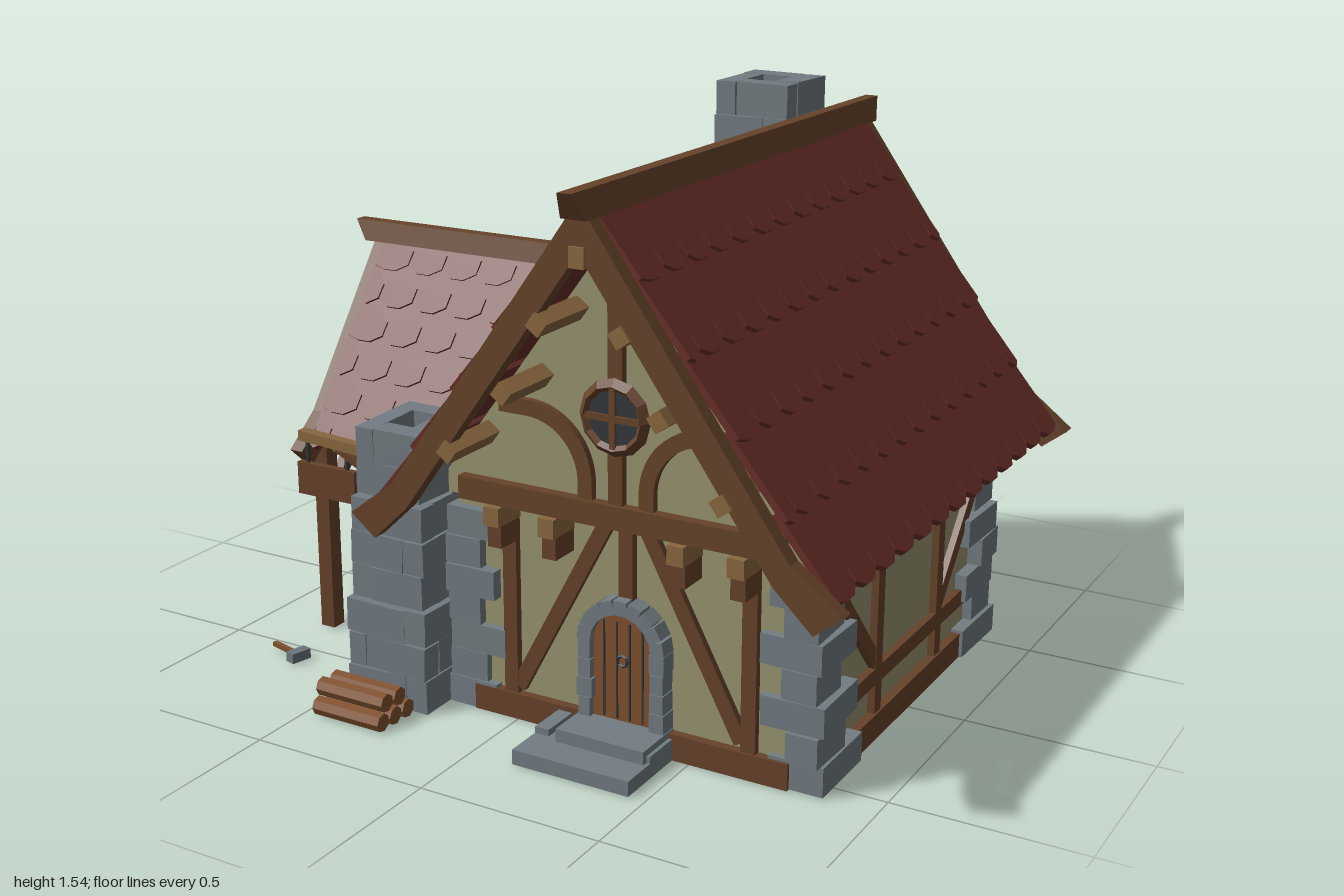
import * as THREE from 'three';

const paint = (color) => new THREE.MeshStandardMaterial({ color, flatShading: true });
const WOOD = paint(0x66432a), LIGHT = paint(0x8a6840), PLASTER = paint(0x98936f), STONE = paint(0x727c82),
  TILE = paint(0x692f29), DARK = paint(0x33383c), DOOR = paint(0x80512e), IRON = paint(0x6b7579);

let seed = 7;
const jitter = (a) => ((seed = (seed * 16807) % 2147483647) / 2147483647 - 0.5) * 2 * a;

function add(parent, name, geo, mat, x = 0, y = 0, z = 0) {
  const m = new THREE.Mesh(geo, mat);
  m.name = name;
  m.position.set(x, y, z);
  parent.add(m);
  return m;
}
function group(parent, name, x = 0, y = 0, z = 0, yaw = 0) {
  const g = new THREE.Group();
  g.name = name;
  g.position.set(x, y, z);
  g.rotation.y = yaw;
  parent.add(g);
  return g;
}
const box = (p, name, w, h, d, x, y, z, mat = WOOD) => add(p, name, new THREE.BoxGeometry(w, h, d), mat, x, y, z);
const polygon = (pts) => new THREE.Shape(pts.map(([x, y]) => new THREE.Vector2(x, y)));
const extrude = (shape, depth) => new THREE.ExtrudeGeometry(shape, { depth, bevelEnabled: false, curveSegments: 8 });

// straight timber between two points of a wall plane
function beam(p, name, [ax, ay], [bx, by], w, d, z, mat = WOOD) {
  const m = box(p, name, w, Math.hypot(bx - ax, by - ay), d, (ax + bx) / 2, (ay + by) / 2, z, mat);
  m.rotation.z = Math.atan2(ax - bx, by - ay);
  return m;
}

// one roof slope: overlapping rows of notched, scalloped tiles
function tiles(p, name, len, rows, w, tilt, yaw, [x, y, z], range) {
  const g = group(p, name, x, y, z);
  g.rotation.set(-tilt, yaw, 0, 'YXZ');
  const step = len / rows;
  for (let i = 0; i < rows; i++) {
    const [a, b] = range(i), over = i ? 0.04 : 0, h = step + over;
    const pts = [[b, 0], [a, 0], [a, -h + 0.012]];
    for (let s = a - (i % 2 ? w / 2 : 0); s < b; s += w) {
      const tile = [[s - 0.002, -h + 0.022], [s - 0.002, -h + 0.065], [s + 0.002, -h + 0.065],
        [s + 0.002, -h + 0.022], [s + w * 0.32, -h], [s + w * 0.68, -h]];
      pts.push(...tile.filter(([q]) => q > a + 0.003 && q < b - 0.003));
    }
    pts.push([b, -h + 0.012]);
    add(g, 'tileRow', extrude(polygon(pts), 0.018), TILE, 0, -i * step + over).rotation.x = -0.06;
  }
}

// chevron of two gable boards, from the right half listed apex to apex
function bargeboard(p, half, z, depth) {
  const left = half.slice(1, -1).reverse().map(([x, y]) => [-x, y]);
  add(p, 'bargeboard', extrude(polygon([...half, ...left]), depth), WOOD, 0, 0, z);
}

// tapered ridge timber running along local z with slanted ends
function ridge(p, z0, z1, y, h, slant0, slant1) {
  const geo = new THREE.BoxGeometry(1, h, 1), q = geo.attributes.position;
  for (let i = 0; i < q.count; i++) {
    const top = q.getY(i) > 0;
    q.setX(i, Math.sign(q.getX(i)) * (top ? 0.018 : 0.034));
    q.setZ(i, q.getZ(i) > 0 ? z1 - (top ? 0 : slant1) : z0 + (top ? 0 : slant0));
  }
  add(p, 'ridgeBeam', geo, WOOD, 0, y);
}

// hollow stack of rough stones; size(t) gives [centre x, centre z, width, depth]
function stoneStack(p, name, y0, y1, courses, t, size) {
  const g = group(p, name), h = (y1 - y0) / courses;
  for (let i = 0; i < courses; i++) {
    const [cx, cz, w, d] = size((i + 0.5) / courses), s = i % 2 ? 1 : -1, y = y0 + (i + 0.5) * h;
    for (const k of [-1, 1]) {
      const a = box(g, 'stone', w - t, h * 0.98, t + jitter(0.008), cx + (s * k * t) / 2, y, cz + (k * (d - t)) / 2, STONE);
      const b = box(g, 'stone', t + jitter(0.008), h * 0.98, d - t, cx + (k * (w - t)) / 2, y, cz - (s * k * t) / 2, STONE);
      a.rotation.z = jitter(0.03);
      b.rotation.x = jitter(0.03);
    }
  }
}

function gableEnd(house, yaw, hasDoor) {
  const g = group(house, hasDoor ? 'frontGable' : 'backGable', 0, 0, 0, yaw);
  // lower framing
  box(g, 'sill', 0.9, 0.07, 0.04, 0, 0.035, 0.555);
  box(g, 'middlePost', 0.04, hasDoor ? 0.22 : 0.55, 0.03, 0, hasDoor ? 0.49 : 0.33, 0.555);
  box(g, 'tieBeam', 0.9, 0.06, 0.05, 0, 0.63, 0.605);
  box(g, 'kingPost', 0.04, 0.68, 0.03, 0, 0.99, 0.605);
  for (const s of [-1, 1]) {
    box(g, 'post', 0.04, 0.55, 0.03, s * 0.34, 0.33, 0.555);
    beam(g, 'diagonalBrace', [s * 0.32, 0.09], [s * 0.05, 0.6], 0.04, 0.026, 0.555);
    // brackets carrying the overhang
    for (const u of [0.18, 0.34]) {
      box(g, 'bracket', 0.04, 0.06, 0.09, s * u, 0.52, 0.59);
      box(g, 'bracketTop', 0.045, 0.05, 0.12, s * u, 0.575, 0.59, LIGHT);
    }
    // curved brace
    const arc = new THREE.Shape();
    arc.absarc(s * 0.25, 0.7, 0.185, s > 0 ? Math.PI : 0, Math.PI / 2, s > 0);
    arc.absarc(s * 0.25, 0.7, 0.145, Math.PI / 2, s > 0 ? Math.PI : 0, s < 0);
    add(g, 'curvedBrace', extrude(arc, 0.025), WOOD, 0, 0, 0.595);
    box(g, 'braceFoot', 0.04, 0.06, 0.025, s * 0.085, 0.68, 0.6075);
    beam(g, 'braceEnd', [s * 0.24, 0.865], [s * 0.33, 0.865], 0.04, 0.025, 0.6075);
    // purlin ends under the boards
    for (const [u, y] of [[0.11, 1.13], [0.21, 0.95], [0.37, 0.78]])
      box(g, 'purlin', 0.042, 0.042, 0.22, s * u, y, 0.68, LIGHT).rotation.z = s * -0.94;
  }
  box(g, 'topPurlin', 0.04, 0.05, 0.22, 0, 1.3, 0.68, LIGHT);
  bargeboard(g, [[0, 1.43], [0.54, 0.67], [0.67, 0.57], [0.6, 0.515], [0.5, 0.61], [0, 1.31]], 0.74, 0.042);
  // round window
  const pane = add(g, 'windowPane', new THREE.CylinderGeometry(0.075, 0.075, 0.04, 12), DARK, 0, 0.88, 0.607);
  pane.rotation.x = Math.PI / 2;
  add(g, 'windowRing', new THREE.TorusGeometry(0.08, 0.018, 4, 12), WOOD, 0, 0.88, 0.62);
  box(g, 'windowBar', 0.15, 0.016, 0.02, 0, 0.88, 0.625);
  box(g, 'windowBar', 0.016, 0.15, 0.02, 0, 0.88, 0.625);
  if (hasDoor) doorway(g);
}

function doorway(p) {
  const g = group(p, 'doorway', 0, 0, 0.55);
  const leaf = new THREE.Shape();
  leaf.moveTo(-0.09, 0.07);
  leaf.lineTo(0.09, 0.07);
  leaf.absarc(0, 0.275, 0.09, 0, Math.PI, false);
  add(g, 'door', extrude(leaf, 0.03), DOOR);
  for (const x of [-0.055, -0.018, 0.018, 0.055]) box(g, 'plankGap', 0.005, 0.26, 0.004, x, 0.21, 0.031, DARK);
  add(g, 'doorRing', new THREE.TorusGeometry(0.014, 0.004, 4, 8), DARK, 0, 0.24, 0.036);
  for (const s of [-1, 1]) for (let i = 0; i < 4; i++)
    box(g, 'jambStone', 0.038 + jitter(0.006), 0.05, 0.06, s * 0.103, 0.1 + i * 0.052, 0.02, STONE);
  for (let i = 0; i < 9; i++) {
    const a = ((i + 0.5) / 9) * Math.PI;
    box(g, 'archStone', 0.038, 0.037, 0.06, Math.cos(a) * 0.104, 0.28 + Math.sin(a) * 0.104, 0.02, STONE).rotation.z = a;
  }
  box(g, 'lowerStep', 0.33, 0.04, 0.24, -0.03, 0.02, 0.12, STONE);
  box(g, 'upperStep', 0.25, 0.035, 0.15, 0, 0.057, 0.075, STONE);
  for (const s of [-1, 1]) box(g, 'stepEdge', 0.04, 0.055, 0.13, -0.03 + s * 0.145, 0.03, 0.07, STONE);
}

function sideWall(house, s) {
  const g = group(house, s > 0 ? 'leftWallFrame' : 'rightWallFrame', s * 0.5, 0, 0, (s * Math.PI) / 2);
  box(g, 'sill', 0.9, 0.07, 0.04, 0, 0.035, 0.005);
  box(g, 'rail', 0.9, 0.045, 0.03, 0, 0.172, 0.005);
  box(g, 'wallPlate', 1.1, 0.05, 0.04, 0, 0.6, 0.005);
  for (const k of [-1, 1]) {
    box(g, 'post', 0.04, 0.54, 0.03, k * 0.2, 0.33, 0.005);
    beam(g, 'diagonalBrace', [k * 0.2, 0.2], [k * 0.47, 0.5], 0.04, 0.026, 0.005);
  }
  if (s > 0) return;
  // window below the side roof
  box(g, 'windowFrame', 0.18, 0.22, 0.04, 0, 0.36, 0.01);
  box(g, 'windowGlass', 0.14, 0.18, 0.045, 0, 0.36, 0.01, DARK);
  for (const k of [-1, 0, 1]) box(g, 'windowBar', 0.01, 0.18, 0.05, k * 0.035, 0.36, 0.01);
  box(g, 'windowBar', 0.14, 0.01, 0.05, 0, 0.36, 0.01);
}

function sideCanopy(root) {
  const tilt = Math.atan2(0.385, 0.53), len = Math.hypot(0.385, 0.53), g = group(root, 'sideCanopy');
  const end = (i) => 0.32 - (1.4 - (1.08 - (i * 0.53) / 6)) * 0.738 + 0.03;
  tiles(g, 'canopyFrontSlope', len, 6, 0.115, tilt, 0, [0, 1.08, 0.02], (i) => [-0.78, end(i)]);
  tiles(g, 'canopyBackSlope', len, 6, 0.115, tilt, Math.PI, [0, 1.08, 0.02], (i) => [-end(i), 0.78]);
  const e = group(g, 'canopyEnd', -0.78, 0, 0.02, -Math.PI / 2);
  ridge(e, -0.89, 0.1, 1.097, 0.056, 0, 0.04);
  bargeboard(e, [[0, 1.1], [0.33, 0.645], [0.435, 0.56], [0.385, 0.515], [0.3, 0.59], [0, 1.0]], -0.005, 0.04);
  box(e, 'tieBeam', 0.66, 0.045, 0.04, 0, 0.56, 0.01);
  box(e, 'kingPost', 0.04, 0.48, 0.03, 0, 0.8, 0);
  for (const s of [-1, 1]) {
    box(e, 'canopyPost', 0.045, 0.56, 0.045, s * 0.31, 0.28, 0.015);
    beam(e, 'postBrace', [s * 0.31, 0.38], [s * 0.16, 0.55], 0.03, 0.03, 0.01);
    beam(e, 'gableBrace', [s * 0.2, 0.57], [0, 0.82], 0.03, 0.026, 0);
    box(e, 'eavePlate', 0.04, 0.04, 0.58, s * 0.31, 0.57, -0.28);
  }
}

function forge(root) {
  const g = group(root, 'forge');
  stoneStack(g, 'forgeChimney', 0, 0.74, 8, 0.06, (t) => {
    const k = t < 0.33 ? 1 : t < 0.7 ? 0.5 : 0;
    return [-0.35 + k * 0.01, 0.51 + k * 0.02, 0.2 + k * 0.045, 0.24 + k * 0.05];
  });
  // bellows on a stand behind the chimney
  for (let i = 0; i < 5; i++)
    add(g, 'bellowsFold', new THREE.CylinderGeometry(i % 2 ? 0.075 : 0.095, i % 2 ? 0.075 : 0.095, 0.03, 10),
      i % 2 ? WOOD : DOOR, -0.39, 0.13 + i * 0.03, 0.12);
  add(g, 'bellowsNozzle', new THREE.CylinderGeometry(0.012, 0.03, 0.2, 8), IRON, -0.39, 0.19, 0.29).rotation.x = Math.PI / 2;
  box(g, 'bellowsStand', 0.05, 0.12, 0.12, -0.39, 0.06, 0.12);
  // hanging sign board
  beam(g, 'signArm', [-0.71, 0.645], [-0.44, 0.63], 0.028, 0.03, 0.53, LIGHT);
  beam(g, 'signBrace', [-0.59, 0.63], [-0.45, 0.56], 0.02, 0.025, 0.53);
  box(g, 'signBoard', 0.19, 0.09, 0.02, -0.625, 0.523, 0.53);
  for (const x of [-0.69, -0.56]) box(g, 'signHanger', 0.008, 0.08, 0.008, x, 0.6, 0.53, DARK);
  // stacked logs
  for (const [y, z] of [[0.023, 0.705], [0.023, 0.755], [0.023, 0.805], [0.066, 0.73], [0.066, 0.78]])
    add(g, 'log', new THREE.CylinderGeometry(0.025, 0.025, 0.21, 7), DOOR, -0.365 + jitter(0.008), y, z).rotation.z = Math.PI / 2;
}

function smithTools(root) {
  const a = group(root, 'anvil', -0.85, 0, 0.05, -0.9);
  const side = [[-0.09, 0], [0.09, 0], [0.09, 0.03], [0.045, 0.05], [0.04, 0.09], [0.1, 0.125], [0.2, 0.16],
    [0.2, 0.172], [-0.19, 0.172], [-0.19, 0.135], [-0.1, 0.12], [-0.04, 0.09], [-0.045, 0.05], [-0.09, 0.03]];
  add(a, 'anvilBody', extrude(polygon(side), 0.08), IRON, 0, 0, -0.04);
  box(a, 'anvilFoot', 0.18, 0.03, 0.12, 0, 0.015, 0, IRON);
  const h = group(root, 'hammer', -0.76, 0.015, 0.565, -0.25);
  box(h, 'hammerHandle', 0.12, 0.012, 0.014, -0.01, 0, 0, DOOR);
  box(h, 'hammerHead', 0.03, 0.028, 0.06, 0.04, 0, 0, IRON);
}

export function createModel() {
  const root = new THREE.Group();
  root.name = 'timberSmithy';
  const house = group(root, 'house', 0.32);
  // plastered walls, upper storey overhanging at both ends
  box(house, 'lowerWalls', 1.0, 0.62, 1.1, 0, 0.31, 0, PLASTER);
  const attic = polygon([[-0.5, 0.6], [0.5, 0.6], [0.5, 0.66], [0, 1.34], [-0.5, 0.66]]);
  add(house, 'atticWalls', extrude(attic, 1.2), PLASTER, 0, 0, -0.6);
  gableEnd(house, 0, true);
  gableEnd(house, Math.PI, false);
  // stone corners
  for (const sx of [-1, 1]) for (const sz of [-1, 1]) {
    const c = group(house, 'stoneCorner');
    for (let i = 0; i < 7; i++) {
      const odd = i % 2, w = (odd ? 0.1 : 0.155) + jitter(0.015), d = (odd ? 0.14 : 0.23 - i * 0.012) + jitter(0.015);
      const ox = 0.53 + jitter(0.012), oz = 0.575 + jitter(0.012);
      box(c, 'stone', w, 0.077, d, sx * (ox - w / 2), 0.04 + i * 0.079, sz * (oz - d / 2), STONE).rotation.y = jitter(0.03);
    }
  }
  // main roof
  const tilt = Math.atan2(0.62, 0.84), len = Math.hypot(0.62, 0.84);
  for (const s of [-1, 1]) {
    sideWall(house, s);
    tiles(house, 'mainRoofSlope', len, 5, 1.48 / 13, tilt, (s * Math.PI) / 2, [0, 1.4, 0], () => [-0.74, 0.74]);
  }
  ridge(house, -0.84, 0.84, 1.422, 0.066, 0.04, 0.04);
  stoneStack(root, 'chimney', 0.98, 1.54, 6, 0.065, (t) => [0.155 + t * 0.02, -0.475, 0.19 + t * 0.03, 0.23 + t * 0.01]);
  sideCanopy(root);
  forge(root);
  smithTools(root);
  return root;
}
